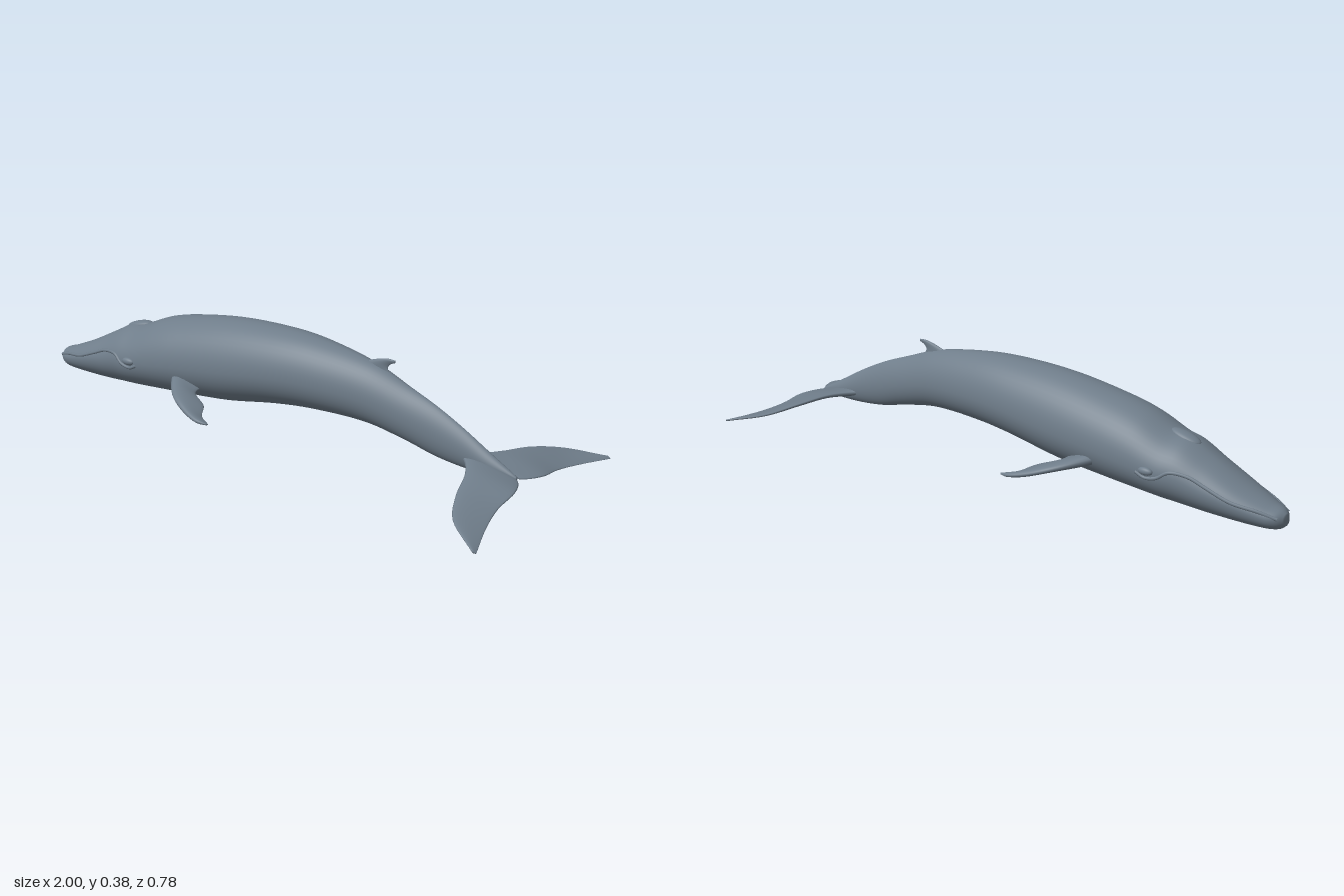
import * as THREE from 'three';

const skin = new THREE.MeshStandardMaterial({ color: 0x6f7d8a });
skin.name = 'slate skin';

// Body stations: x, top y, bottom y, half width, height of widest line (0..1), crest sharpness
const stations = [
  [-1.0, 0.108, 0.072, 0.016, 0.5, 1],
  [-0.985, 0.12, 0.06, 0.038, 0.55, 1],
  [-0.95, 0.132, 0.054, 0.058, 0.55, 1],
  [-0.85, 0.175, 0.054, 0.088, 0.55, 1],
  [-0.74, 0.232, 0.057, 0.108, 0.5, 1.15],
  [-0.66, 0.273, 0.062, 0.122, 0.48, 1.15],
  [-0.6, 0.284, 0.066, 0.131, 0.47, 1.05],
  [-0.5, 0.325, 0.073, 0.138, 0.45, 1],
  [-0.4, 0.35, 0.08, 0.141, 0.45, 1],
  [-0.2, 0.38, 0.097, 0.136, 0.45, 1],
  [0.0, 0.388, 0.13, 0.122, 0.45, 1],
  [0.15, 0.38, 0.144, 0.104, 0.45, 1.05],
  [0.35, 0.345, 0.143, 0.074, 0.45, 1.2],
  [0.5, 0.29, 0.115, 0.052, 0.45, 1.35],
  [0.6, 0.25, 0.09, 0.04, 0.45, 1.4],
  [0.7, 0.2, 0.077, 0.03, 0.45, 1.4],
  [0.8, 0.142, 0.074, 0.022, 0.45, 1.3],
  [0.89, 0.092, 0.078, 0.006, 0.5, 1],
];

// Smooth interpolation of the station values at x
function bodyAt(x) {
  const n = stations.length - 1;
  let i = 0;
  while (i < n - 1 && x > stations[i + 1][0]) i++;
  const a = stations[i], b = stations[i + 1], h = b[0] - a[0], t = (x - a[0]) / h;
  const slope = (j, c) => {
    const p = stations[Math.max(j - 1, 0)], q = stations[Math.min(j + 1, n)];
    return (q[c] - p[c]) / (q[0] - p[0]);
  };
  const val = (c) => (2 * t ** 3 - 3 * t * t + 1) * a[c] + (t ** 3 - 2 * t * t + t) * h * slope(i, c)
    + (3 * t * t - 2 * t ** 3) * b[c] + (t ** 3 - t * t) * h * slope(i + 1, c);
  const top = val(1), bottom = val(2);
  return { top, bottom, w: val(3), mid: bottom + (top - bottom) * val(4), k: val(5) };
}

// Half width of the skin at a given x and y
function skinZ(x, y) {
  const b = bodyAt(x);
  const c = y > b.mid ? (y - b.mid) / (b.top - b.mid) : (b.mid - y) / (b.mid - b.bottom);
  return b.w * Math.sqrt(Math.max(0, 1 - c * c)) ** (y > b.mid ? b.k : 1);
}

// Joins closed rings of points into one smooth skin with capped ends
function loft(rings) {
  const n = rings[0].length, last = rings.length - 1, pos = [], idx = [];
  rings.forEach((r) => r.forEach((p) => pos.push(p.x, p.y, p.z)));
  for (let i = 0; i < last; i++) {
    for (let j = 0; j < n; j++) {
      const a = i * n + j, b = i * n + (j + 1) % n;
      idx.push(a, b, a + n, b, b + n, a + n);
    }
  }
  [0, last].forEach((i) => {
    const c = new THREE.Vector3();
    rings[i].forEach((p) => c.addScaledVector(p, 1 / n));
    const ci = pos.length / 3;
    pos.push(c.x, c.y, c.z);
    for (let j = 0; j < n; j++) {
      const a = i * n + j, b = i * n + (j + 1) % n;
      if (i === 0) idx.push(ci, b, a); else idx.push(ci, a, b);
    }
  });
  const g = new THREE.BufferGeometry();
  g.setAttribute('position', new THREE.Float32BufferAttribute(pos, 3));
  g.setIndex(idx);
  g.computeVertexNormals();
  return g;
}

// Fin lofted between a leading and a trailing edge: rows of [lead, trail, half thickness]
function fin(rows, thickDir) {
  const lead = new THREE.CatmullRomCurve3(rows.map((r) => new THREE.Vector3(...r[0])));
  const trail = new THREE.CatmullRomCurve3(rows.map((r) => new THREE.Vector3(...r[1])));
  const rings = [], steps = 30, sides = 20;
  for (let i = 0; i <= steps; i++) {
    const u = i / steps, l = lead.getPoint(u), t = trail.getPoint(u);
    const f = u * (rows.length - 1), k = Math.min(Math.floor(f), rows.length - 2);
    const th = THREE.MathUtils.lerp(rows[k][2], rows[k + 1][2], f - k);
    const ring = [];
    for (let j = 0; j < sides; j++) {
      const a = j / sides * Math.PI * 2;
      ring.push(l.clone().lerp(t, (1 - Math.cos(a)) / 2)
        .addScaledVector(thickDir, th * Math.sin(a) * (0.75 + 0.35 * Math.cos(a))));
    }
    rings.push(ring);
  }
  return loft(rings);
}

export function createModel() {
  const whale = new THREE.Group();
  whale.name = 'whale';
  const add = (name, geometry) => {
    const m = new THREE.Mesh(geometry, skin);
    m.name = name;
    whale.add(m);
    return m;
  };

  // Body from snout to tail stock, with closer rings at the snout
  const rings = [];
  for (let i = 0; i <= 120; i++) {
    const x = -1 + 1.89 * (i / 120) ** 1.3, b = bodyAt(x), ring = [];
    for (let j = 0; j < 48; j++) {
      const a = j / 48 * Math.PI * 2, c = Math.cos(a), s = Math.sin(a);
      const z = b.w * Math.sign(s) * Math.abs(s) ** (c > 0 ? b.k : 1);
      ring.push(new THREE.Vector3(x, b.mid + c * (c > 0 ? b.top - b.mid : b.mid - b.bottom), z));
    }
    rings.push(ring);
  }
  add('body', loft(rings));

  // Hooked dorsal fin
  add('dorsalFin', fin([
    [[0.28, 0.335, 0], [0.46, 0.28, 0], 0.012],
    [[0.335, 0.348, 0], [0.425, 0.312, 0], 0.01],
    [[0.375, 0.36, 0], [0.41, 0.335, 0], 0.008],
    [[0.41, 0.367, 0], [0.418, 0.349, 0], 0.006],
    [[0.436, 0.366, 0], [0.437, 0.358, 0], 0.003],
  ], new THREE.Vector3(0, 0, 1)));

  // Blowhole mound
  const mound = add('blowholeMound', new THREE.SphereGeometry(1, 24, 16));
  mound.scale.set(0.055, 0.014, 0.026);
  mound.position.set(-0.635, 0.272, 0);
  mound.rotation.z = 0.25;

  for (const s of [1, -1]) {
    const side = s > 0 ? 'left' : 'right';
    const down = new THREE.Vector3(0, -s, 0);

    // Flippers swept back and down
    add(side + 'Flipper', fin([
      [[-0.4, 0.172, 0.1 * s], [-0.27, 0.15, 0.09 * s], 0.026],
      [[-0.36, 0.163, 0.155 * s], [-0.26, 0.145, 0.147 * s], 0.021],
      [[-0.29, 0.145, 0.225 * s], [-0.195, 0.125, 0.182 * s], 0.016],
      [[-0.21, 0.12, 0.261 * s], [-0.16, 0.11, 0.232 * s], 0.012],
      [[-0.15, 0.107, 0.274 * s], [-0.125, 0.103, 0.25 * s], 0.008],
      [[-0.117, 0.102, 0.266 * s], [-0.112, 0.101, 0.257 * s], 0.003],
    ], down));

    // Flukes, the left one drooping further
    const y = s > 0
      ? [[0.104, 0.077], [0.08, 0.056], [0.052, 0.034], [0.014, 0.009]]
      : [[0.113, 0.078], [0.104, 0.07], [0.083, 0.063], [0.06, 0.056]];
    add(side + 'Fluke', fin([
      [[0.67, 0.12, 0], [0.89, 0.085, 0], 0.018],
      [[0.72, 0.114, 0.032 * s], [0.913, 0.082, 0.025 * s], 0.017],
      [[0.77, y[0][0], 0.1 * s], [0.936, y[0][1], 0.085 * s], 0.014],
      [[0.81, y[1][0], 0.21 * s], [0.934, y[1][1], 0.17 * s], 0.011],
      [[0.87, y[2][0], 0.315 * s], [0.952, y[2][1], 0.26 * s], 0.008],
      [[0.985, y[3][0], 0.39 * s], [0.998, y[3][1], 0.386 * s], 0.004],
    ], down));

    // Lip ridge following the jaw up and then down to the eye
    const lip = [[-0.985, 0.1], [-0.93, 0.118], [-0.85, 0.135], [-0.77, 0.165], [-0.71, 0.188],
      [-0.65, 0.192], [-0.61, 0.168], [-0.57, 0.162], [-0.54, 0.175]];
    const path = new THREE.CatmullRomCurve3(lip.map(([x, h]) =>
      new THREE.Vector3(x, h, s * (skinZ(x, h) - 0.002))));
    add(side + 'Lip', new THREE.TubeGeometry(path, 60, 0.006, 8));

    // Eye bulge
    const eye = add(side + 'Eye', new THREE.SphereGeometry(1, 20, 14));
    eye.scale.set(0.026, 0.013, 0.012);
    eye.position.set(-0.575, 0.184, s * (skinZ(-0.575, 0.184) - 0.001));
  }
  return whale;
}
